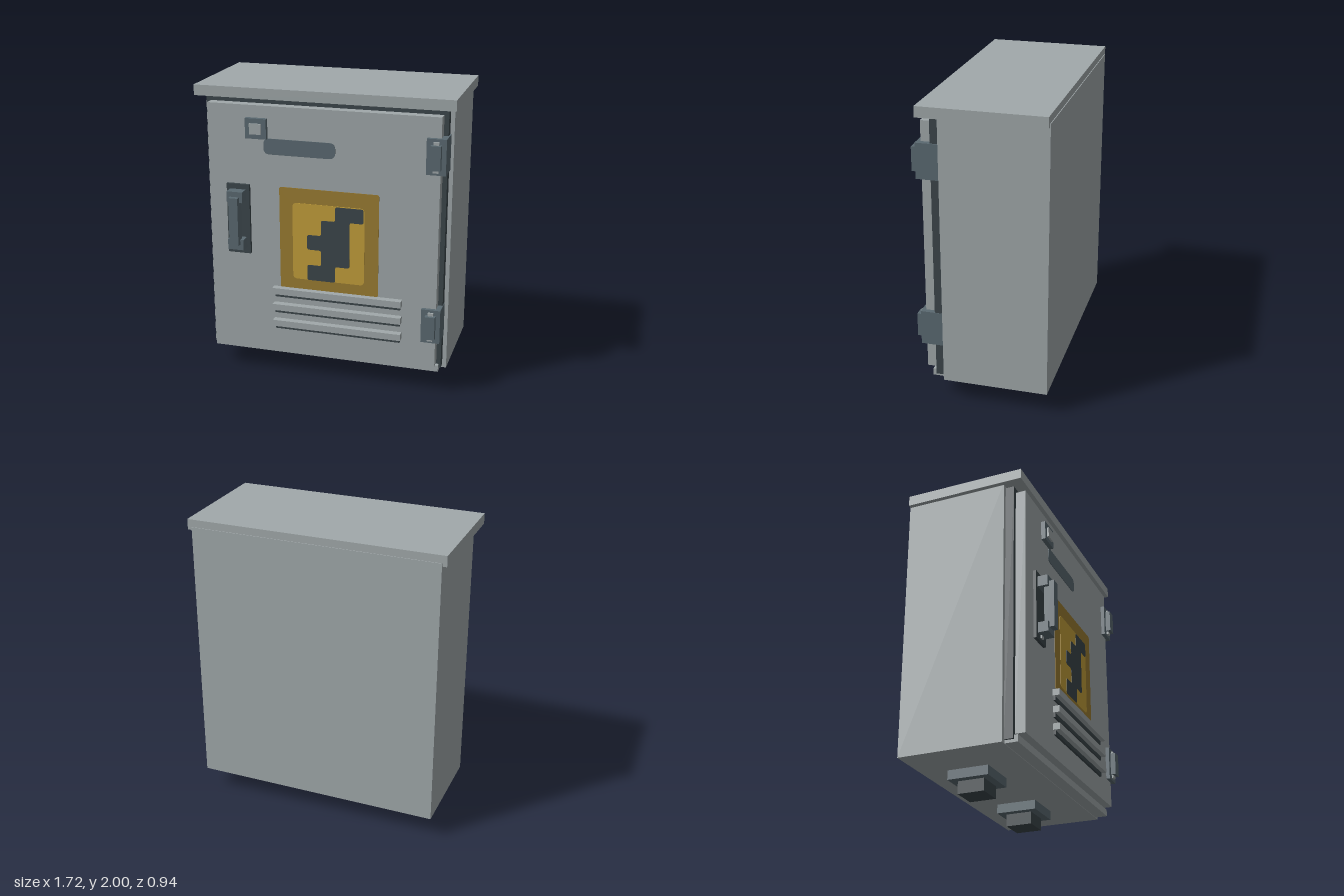
import * as THREE from 'three';

const mat = (name, color) => {
  const m = new THREE.MeshStandardMaterial({ color });
  m.name = name;
  return m;
};

// Closed shape from corner points, each corner rounded by radius r
function roundedShape(points, r) {
  const pts = points.map(([x, y]) => new THREE.Vector2(x, y));
  const n = pts.length;
  const shape = new THREE.Shape();
  pts.forEach((p, i) => {
    const toPrev = pts[(i + n - 1) % n].clone().sub(p).setLength(r).add(p);
    const toNext = pts[(i + 1) % n].clone().sub(p).setLength(r).add(p);
    if (i === 0) shape.moveTo(toPrev.x, toPrev.y);
    else shape.lineTo(toPrev.x, toPrev.y);
    shape.quadraticCurveTo(p.x, p.y, toNext.x, toNext.y);
  });
  shape.closePath();
  return shape;
}

const rect = (x0, x1, y0, y1) => [[x0, y0], [x1, y0], [x1, y1], [x0, y1]];

export function createModel() {
  const steel = mat('light grey steel', 0xa1a9ab);
  const slate = mat('slate blue metal', 0x5b6a72);
  const dark = mat('dark rubber', 0x3c464b);
  const yellow = mat('sign yellow', 0xc4a03a);
  const ochre = mat('sign border ochre', 0x9c7d32);

  const model = new THREE.Group();
  model.name = 'electricalCabinet';

  // Box given by its limits on each axis
  const box = (name, material, x0, x1, y0, y1, z0, z1, parent = model) => {
    const mesh = new THREE.Mesh(new THREE.BoxGeometry(x1 - x0, y1 - y0, z1 - z0), material);
    mesh.position.set((x0 + x1) / 2, (y0 + y1) / 2, (z0 + z1) / 2);
    mesh.name = name;
    parent.add(mesh);
    return mesh;
  };
  // Thin rounded plate lying on the door
  const plate = (name, material, points, r, z, depth, parent = model) => {
    const geo = new THREE.ExtrudeGeometry(roundedShape(points, r), { depth, bevelEnabled: false, curveSegments: 5 });
    const mesh = new THREE.Mesh(geo, material);
    mesh.position.z = z;
    mesh.name = name;
    parent.add(mesh);
  };
  const group = (name) => {
    const g = new THREE.Group();
    g.name = name;
    model.add(g);
    return g;
  };

  // Housing
  box('body', steel, -0.83, 0.83, 0.145, 1.95, -0.47, 0.22);
  box('roof', steel, -0.86, 0.86, 1.93, 2, -0.465, 0.351);
  box('doorSeal', dark, -0.803, 0.803, 0.168, 1.92, 0.22, 0.278);
  box('door', steel, -0.773, 0.773, 0.205, 1.888, 0.278, 0.346);
  box('bottomLip', steel, -0.79, 0.79, 0.148, 0.194, 0.22, 0.304);

  // Feet
  for (const x of [-0.372, 0.378]) {
    const foot = group('foot');
    box('footPlate', slate, x - 0.138, x + 0.138, 0.083, 0.147, -0.293, -0.015, foot);
    box('footPad', dark, x - 0.089, x + 0.089, 0, 0.085, -0.244, -0.065, foot);
  }

  // Hinges on the left edge of the door
  for (const [x, y] of [[0.748, 1.64], [0.743, 0.5]]) {
    const hinge = group('hinge');
    box('hingeLeaf', slate, x - 0.063, x + 0.063, y - 0.116, y + 0.116, 0.22, 0.372, hinge);
    box('hingeKnuckle', slate, x - 0.034, x + 0.034, y - 0.079, y + 0.079, 0.37, 0.407, hinge);
    for (const s of [-1, 1])
      box('hingeScrew', steel, x - 0.018, x + 0.018, y + s * 0.089 - 0.01, y + s * 0.089 + 0.01, 0.37, 0.386, hinge);
  }

  // Handle
  const handle = group('handle');
  box('handleBacking', dark, -0.648, -0.49, 0.878, 1.357, 0.345, 0.366, handle);
  box('handleUpperPost', slate, -0.623, -0.515, 1.25, 1.323, 0.364, 0.435, handle);
  box('handleLowerPost', slate, -0.623, -0.515, 0.922, 0.993, 0.364, 0.435, handle);
  box('handleBar', slate, -0.6, -0.537, 0.96, 1.288, 0.4, 0.468, handle);
  box('keyhole', steel, -0.585, -0.553, 0.9, 0.92, 0.364, 0.378, handle);

  // Indicator and name plate
  box('indicatorFrame', slate, -0.505, -0.362, 1.673, 1.807, 0.345, 0.375);
  box('indicatorWindow', steel, -0.473, -0.394, 1.705, 1.775, 0.374, 0.387);
  plate('namePlate', slate, rect(-0.39, 0.093, 1.57, 1.675), 0.042, 0.345, 0.006);

  // Warning sign with a stepped bolt
  const sign = group('warningSign');
  plate('signBorder', ochre, rect(-0.288, 0.384, 0.655, 1.357), 0.015, 0.345, 0.004, sign);
  plate('signField', yellow, rect(-0.198, 0.29, 0.728, 1.257), 0.03, 0.348, 0.004, sign);
  plate('signBolt', dark, [
    [0.093, 1.252], [0.283, 1.252], [0.283, 1.153], [0.19, 1.153], [0.19, 0.838], [0.093, 0.838],
    [0.093, 0.728], [-0.098, 0.728], [-0.098, 0.835], [-0.003, 0.835], [-0.003, 0.943], [-0.098, 0.943],
    [-0.098, 1.045], [-0.003, 1.045], [-0.003, 1.152], [0.093, 1.152],
  ], 0.015, 0.351, 0.004, sign);

  // Louvred vents
  for (const y of [0.657, 0.541, 0.424]) {
    const vent = group('vent');
    box('ventHood', steel, -0.335, 0.547, y - 0.044, y, 0.345, 0.392, vent);
    box('ventSlot', dark, -0.325, 0.537, y - 0.072, y - 0.042, 0.345, 0.36, vent);
  }

  return model;
}
